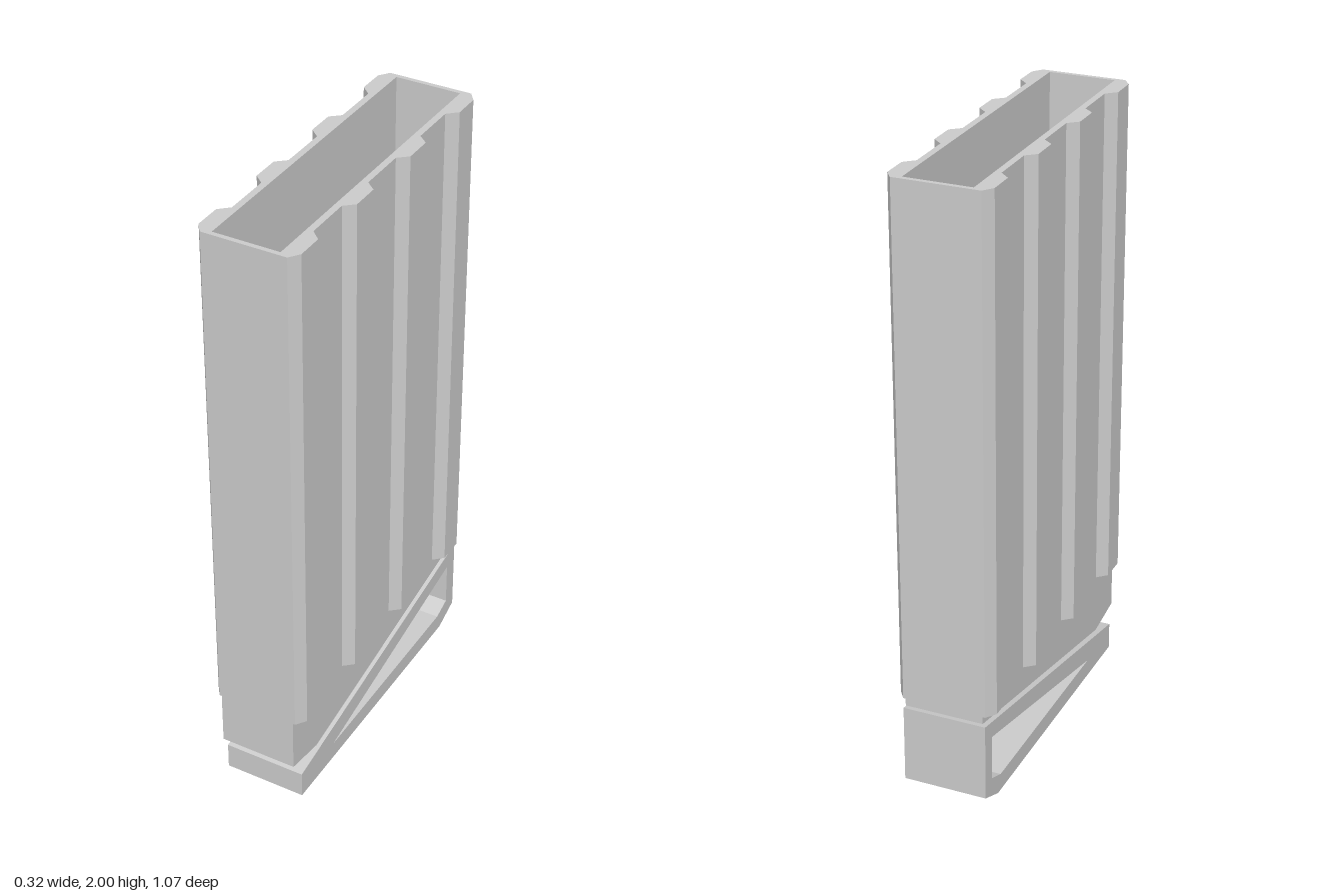
import * as THREE from 'three';

const material = new THREE.MeshStandardMaterial({ color: 0xcccccc, flatShading: true });
const toPoints = (list) => list.map(([a, b]) => new THREE.Vector2(a, b));

// Extrudes a (z, y) side profile across x, centred on x = centre
function sideExtrude(name, profile, width, centre = 0, hole = null) {
  const shape = new THREE.Shape(toPoints(profile));
  if (hole) shape.holes.push(new THREE.Path(toPoints(hole)));
  const geometry = new THREE.ExtrudeGeometry(shape, { depth: width, bevelEnabled: false });
  geometry.translate(0, 0, -width / 2);
  geometry.rotateY(-Math.PI / 2);
  geometry.translate(centre, 0, 0);
  const mesh = new THREE.Mesh(geometry, material);
  mesh.name = name;
  return mesh;
}

export function createModel() {
  const group = new THREE.Group();
  group.name = 'ribbedCase';

  const end = 0.533, valley = 0.128, crest = 0.16, lip = 0.136;
  const innerX = 0.107, innerZ = 0.518;
  const ribBottom = 0.332, top = 2;

  // Ribbed upper sleeve: one side's outline, mirrored for the other
  const side = [
    [lip, -end], [crest, -0.5], [crest, -0.412], [valley, -0.382],
    [valley, -0.228], [crest, -0.2], [crest, -0.108], [valley, -0.08],
  ];
  const right = [...side, ...side.map(([x, z]) => [x, -z]).reverse()];
  const left = right.map(([x, z]) => [-x, z]).reverse();
  const outline = new THREE.Shape(toPoints([...right, ...left]));
  outline.holes.push(new THREE.Path(toPoints([
    [-innerX, -innerZ], [-innerX, innerZ], [innerX, innerZ], [innerX, -innerZ],
  ])));
  const sleeveGeometry = new THREE.ExtrudeGeometry(outline, { depth: top - ribBottom, bevelEnabled: false });
  sleeveGeometry.rotateX(-Math.PI / 2);
  sleeveGeometry.translate(0, ribBottom, 0);
  const sleeve = new THREE.Mesh(sleeveGeometry, material);
  sleeve.name = 'ribbedSleeve';
  group.add(sleeve);

  // Plain lower body: two cheeks with a sloping floor between them
  const lower = [[end, ribBottom], [end, 0.15], [0.39, 0.125], [-end, 0.308], [-end, ribBottom]];
  const cheek = valley - innerX;
  for (const s of [-1, 1]) {
    group.add(sideExtrude(s > 0 ? 'leftCheek' : 'rightCheek', lower, cheek, s * (innerX + cheek / 2)));
  }
  group.add(sideExtrude('slopingFloor', [
    ...lower, [-innerZ, ribBottom], [-innerZ, 0.322], [0.39, 0.141], [innerZ, 0.164], [innerZ, ribBottom],
  ], innerX * 2));

  // Connector between the body and the foot
  group.add(sideExtrude('connector', [
    [0.452, 0.136], [0.44, 0.095], [-0.48, 0.28], [-0.48, 0.302], [0.39, 0.13],
  ], 0.16));

  // Wedge-shaped foot with a through opening
  group.add(sideExtrude('wedgeFoot',
    [[0.497, 0], [0.497, 0.09], [-end, 0.297], [-end, 0.04], [-0.44, 0]],
    0.272, 0,
    [[0.3, 0.058], [-0.42, 0.058], [-0.483, 0.083], [-0.483, 0.233]]));

  return group;
}
